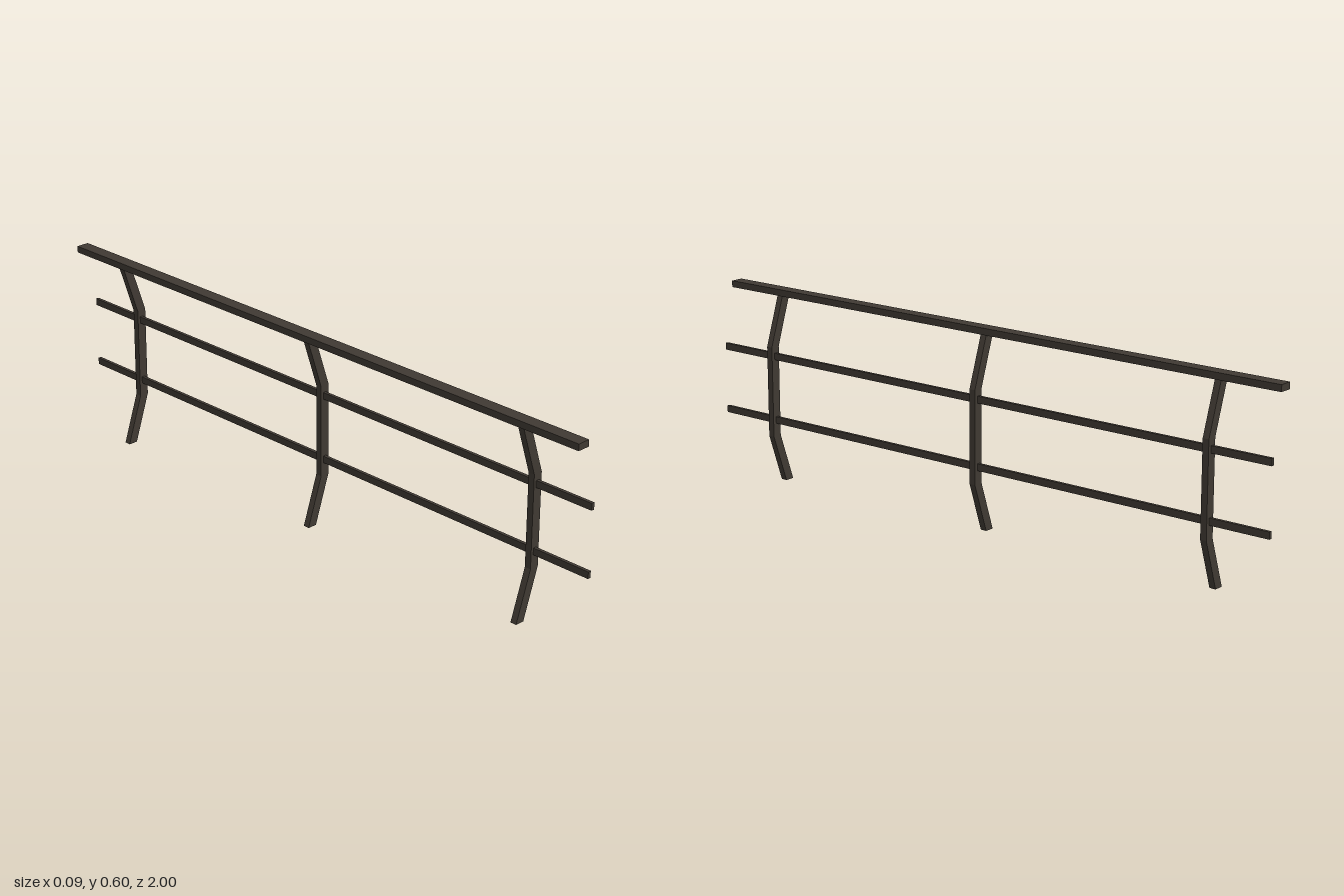
import * as THREE from 'three';

export function createModel() {
  const group = new THREE.Group();
  group.name = 'railing';
  const darkWood = new THREE.MeshStandardMaterial({ color: 0x403a33 });
  darkWood.name = 'darkWood';

  const add = (name, geometry, x, y, z) => {
    const mesh = new THREE.Mesh(geometry, darkWood);
    mesh.name = name;
    mesh.position.set(x, y, z);
    group.add(mesh);
  };

  // Handrail and two thin bars running along z
  add('handrail', new THREE.BoxGeometry(0.04, 0.02, 2), -0.024, 0.592, 0);
  add('lowerBar', new THREE.BoxGeometry(0.01, 0.021, 2), 0.026, 0.201, 0);
  add('upperBar', new THREE.BoxGeometry(0.01, 0.021, 2), 0.026, 0.401, 0);

  // Bent posts: one side profile, offset by the post width
  const path = [[-0.038, 0], [0.0125, 0.15], [0.0125, 0.431], [-0.038, 0.583]];
  const width = 0.0295;
  const thickness = 0.02;
  const outline = [...path, ...path.map(([x, y]) => [x + width, y]).reverse()];
  const shape = new THREE.Shape(outline.map(([x, y]) => new THREE.Vector2(x, y)));
  const postGeometry = new THREE.ExtrudeGeometry(shape, { depth: thickness, bevelEnabled: false });
  postGeometry.translate(0, 0, -thickness / 2);
  [['frontPost', 0.8], ['middlePost', 0], ['backPost', -0.8]].forEach(([name, z]) =>
    add(name, postGeometry, 0, 0, z));

  return group;
}
